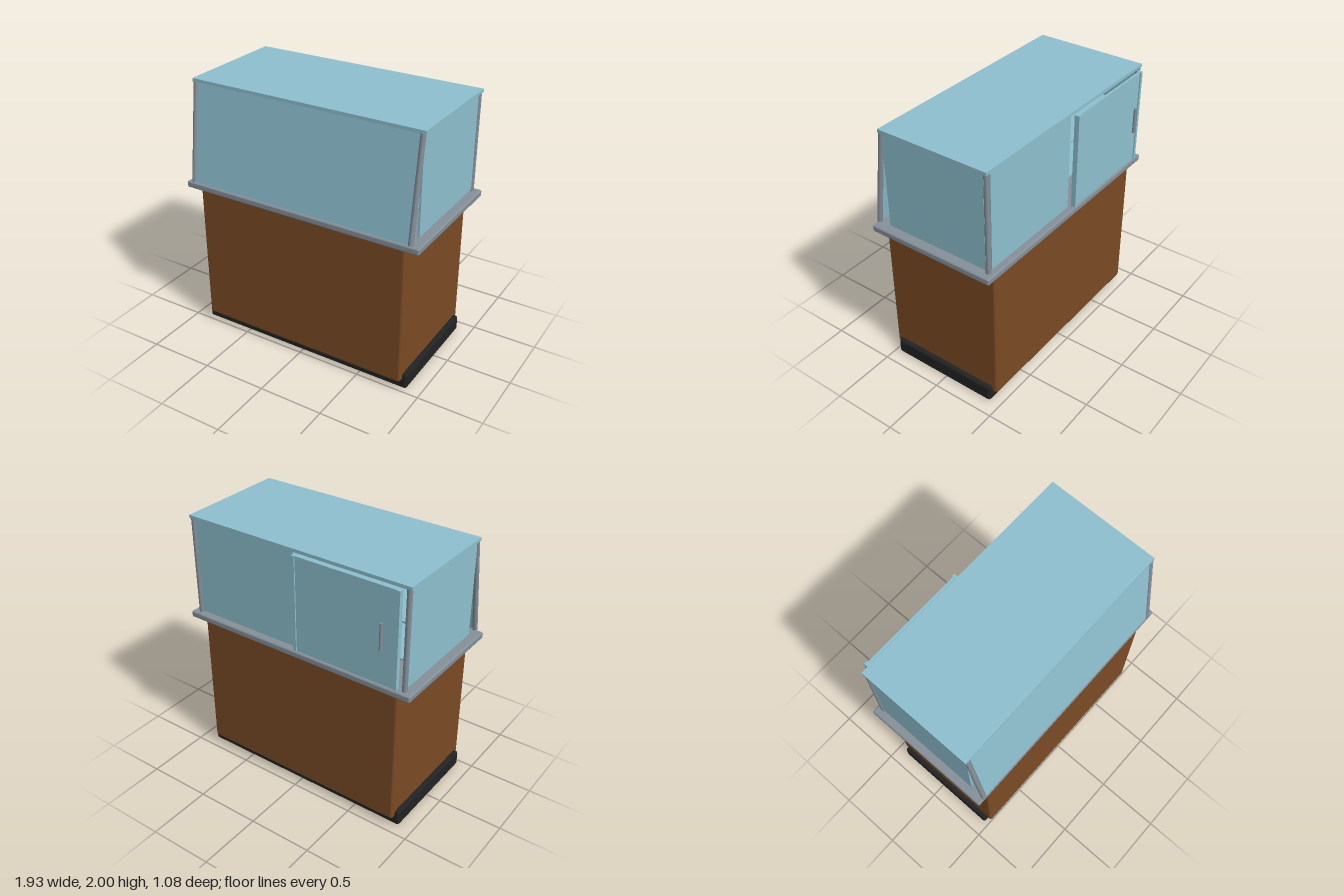
import * as THREE from 'three';
import { RoundedBoxGeometry } from 'three/addons/geometries/RoundedBoxGeometry.js';

export function createModel() {
  const model = new THREE.Group();
  model.name = 'displayCounter';

  const material = (name, color) => {
    const m = new THREE.MeshStandardMaterial({ color });
    m.name = name;
    return m;
  };
  const wood = material('brown wood', 0x7a4a24);
  const plinthBlack = material('black plinth', 0x222222);
  const metal = material('grey metal', 0x848f99);
  const glass = material('pale blue glass', 0x8dbfce);

  const add = (name, geometry, mat, parent = model) => {
    const mesh = new THREE.Mesh(geometry, mat);
    mesh.name = name;
    parent.add(mesh);
    return mesh;
  };
  // Box given by its limits on each axis; radius > 0 rounds the edges
  const block = (name, [x0, x1], [y0, y1], [z0, z1], mat, radius = 0, parent = model) => {
    const size = [x1 - x0, y1 - y0, z1 - z0];
    const geometry = radius
      ? new RoundedBoxGeometry(...size, 3, radius)
      : new THREE.BoxGeometry(...size);
    const mesh = add(name, geometry, mat, parent);
    mesh.position.set((x0 + x1) / 2, (y0 + y1) / 2, (z0 + z1) / 2);
    return mesh;
  };

  // Lower cabinet and counter top
  block('plinth', [-0.89, 0.89], [0, 0.125], [-0.415, 0.465], plinthBlack, 0.02);
  block('cabinet', [-0.855, 0.855], [0.07, 1.175], [-0.455, 0.505], wood, 0.02);
  block('counterTop', [-0.965, 0.965], [1.17, 1.22], [-0.49, 0.53], metal, 0.012);

  // Glass roof
  block('roofPane', [-0.925, 0.925], [1.975, 2], [-0.46, 0.425], glass);

  // Sloping front: pane and posts share one leaning frame
  const front = new THREE.Group();
  front.name = 'slopingFront';
  const bottom = new THREE.Vector2(0.518, 1.228);
  const top = new THREE.Vector2(0.414, 1.978);
  const height = bottom.distanceTo(top);
  front.position.set(0, (bottom.y + top.y) / 2, (bottom.x + top.x) / 2);
  front.rotation.x = -Math.atan2(bottom.x - top.x, top.y - bottom.y);
  model.add(front);
  add('frontPane', new THREE.BoxGeometry(1.79, height, 0.014), glass, front);

  for (const side of [-1, 1]) {
    const label = side > 0 ? 'left' : 'right';
    const frontPost = add(label + 'FrontPost',
      new THREE.CylinderGeometry(0.019, 0.019, height, 16), metal, front);
    frontPost.position.x = side * 0.9;

    const rearPost = add(label + 'RearPost',
      new THREE.CylinderGeometry(0.019, 0.019, 0.76, 16), metal);
    rearPost.position.set(side * 0.9, 1.6, -0.442);

    const sidePane = block(label + 'SidePane',
      [-0.007, 0.007], [1.237, 1.976], [-0.422, 0.41], glass);
    sidePane.position.x = side * 0.9;
  }

  // Inner shelves
  for (const y of [1.4, 1.68]) {
    block('shelf', [-0.86, 0.86], [y, y + 0.014], [-0.38, 0.34], glass);
  }

  // Rear: one fixed pane and one sliding door with edge strips
  block('rearFixedPane', [0, 0.875], [1.237, 1.976], [-0.452, -0.438], glass);
  const door = new THREE.Group();
  door.name = 'slidingDoor';
  model.add(door);
  block('doorPane', [-0.86, -0.03], [1.24, 1.97], [-0.493, -0.475], glass, 0, door);
  for (const x of [-0.855, -0.035]) {
    block('doorStrip', [x - 0.012, x + 0.012], [1.24, 1.972], [-0.502, -0.465], glass, 0, door);
  }
  const handle = add('doorHandle',
    new THREE.CylinderGeometry(0.011, 0.011, 0.2, 16), metal, door);
  handle.position.set(-0.755, 1.625, -0.528);

  return model;
}
